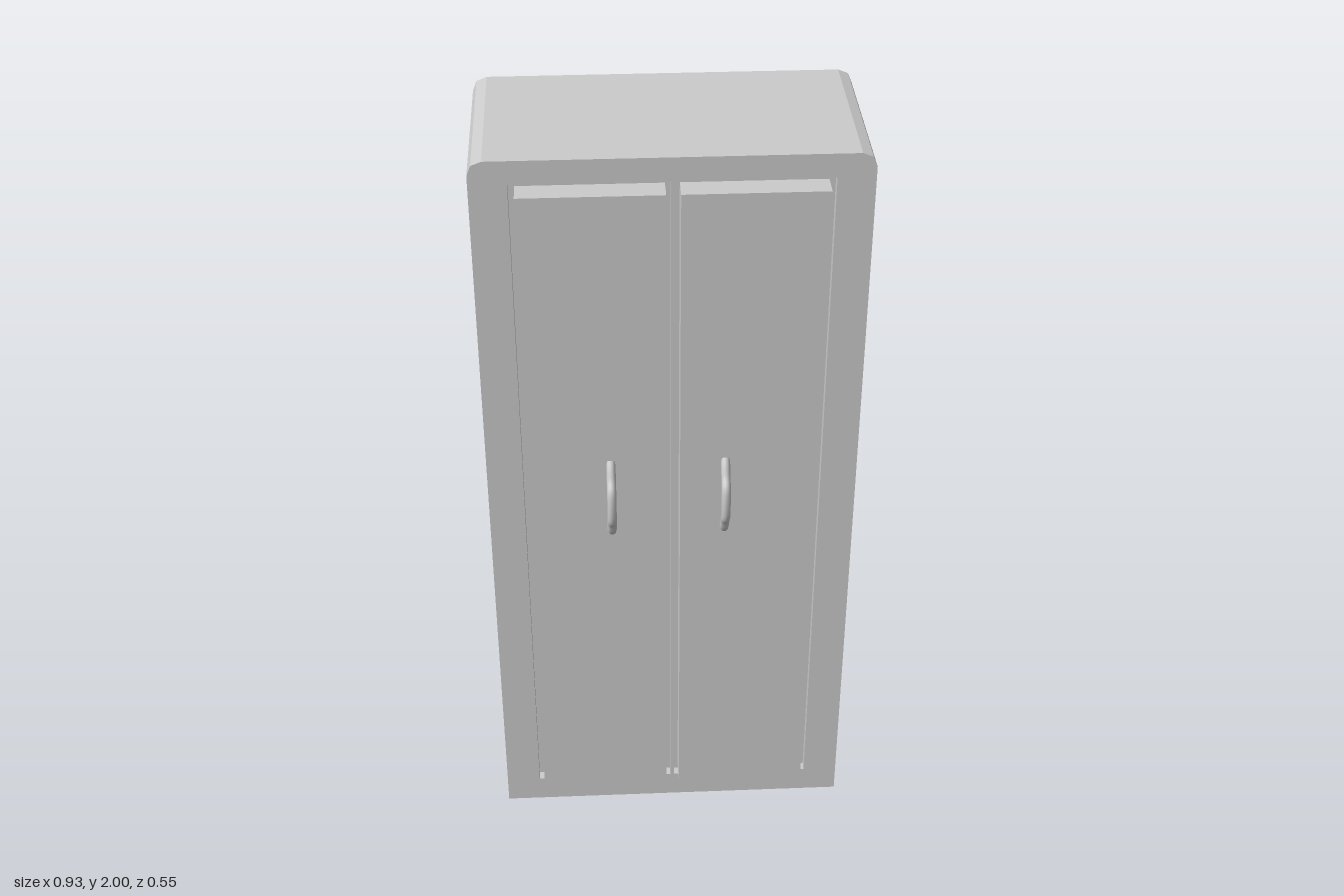
import * as THREE from 'three';

const material = new THREE.MeshStandardMaterial({ color: 0xcccccc });

const HALF_W = 0.465, HEIGHT = 2;
const BACK = -0.275, FLOOR = 0.16, FRONT = 0.185, DOOR_FRONT = 0.222;

function addMesh(parent, name, geometry) {
  const mesh = new THREE.Mesh(geometry, material);
  mesh.name = name;
  parent.add(mesh);
  return mesh;
}

// Front outline of the cabinet: square feet, bevelled upper corners
function outline() {
  const right = [[HALF_W, 0], [HALF_W, HEIGHT - 0.035], [HALF_W - 0.01, HEIGHT - 0.01], [HALF_W - 0.035, HEIGHT]];
  const left = right.map(([x, y]) => [-x, y]).reverse();
  return new THREE.Shape([...right, ...left].map(([x, y]) => new THREE.Vector2(x, y)));
}

function slab(shape, z0, z1) {
  return new THREE.ExtrudeGeometry(shape, { depth: z1 - z0, bevelEnabled: false }).translate(0, 0, z0);
}

// Bowed pull whose ends sink into the door
function handleGeometry() {
  const side = [[0.108, 0.216], [0.092, 0.228], [0.066, 0.243], [0.045, 0.26], [0.022, 0.265]];
  const points = [...side, ...side.map(([y, z]) => [-y, z]).reverse()]
    .map(([y, z]) => new THREE.Vector3(0, y, z));
  return new THREE.TubeGeometry(new THREE.CatmullRomCurve3(points), 28, 0.0115, 10);
}

export function createModel() {
  const model = new THREE.Group();
  model.name = 'wardrobe';

  // Carcass, with a front frame that leaves a narrow groove round each door
  addMesh(model, 'carcass', slab(outline(), BACK, FLOOR));
  const frame = outline();
  for (const s of [-1, 1]) {
    const corners = [[0.005, 0.075], [0.005, 1.94], [0.375, 1.94], [0.375, 0.075]];
    frame.holes.push(new THREE.Path(corners.map(([x, y]) => new THREE.Vector2(s * x, y))));
  }
  addMesh(model, 'frontFrame', slab(frame, FLOOR, FRONT));

  // Doors and their handles
  const pull = handleGeometry();
  for (const [side, s, handleX] of [['left', 1, 0.13], ['right', -1, -0.155]]) {
    const door = addMesh(model, side + 'Door', new THREE.BoxGeometry(0.343, 1.835, DOOR_FRONT - FLOOR));
    door.position.set(s * 0.1885, 1.0075, (DOOR_FRONT + FLOOR) / 2);
    addMesh(model, side + 'Handle', pull).position.set(handleX, 1.083, 0);
  }
  return model;
}
